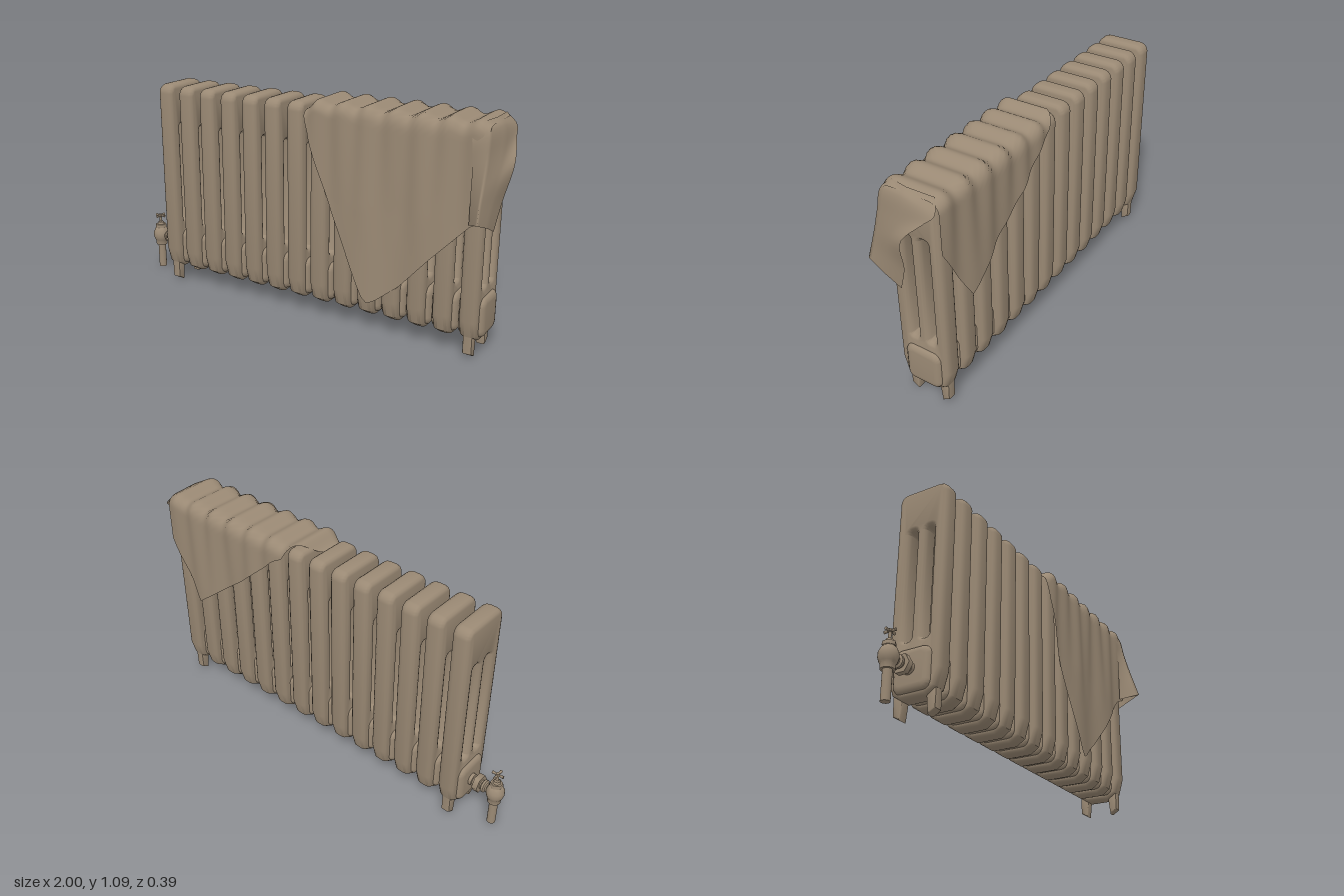
import * as THREE from 'three';
import { toCreasedNormals } from 'three/addons/utils/BufferGeometryUtils.js';

const CZ = -0.0375; // depth of the radiator's centre line
const PITCH = 0.127;
const FIRST = -0.77;
const COUNT = 14;

const iron = new THREE.MeshStandardMaterial({ color: 0x9a8974, side: THREE.DoubleSide });
iron.name = 'warm taupe';

function add(parent, name, geometry, x = 0, y = 0, z = 0) {
  const mesh = new THREE.Mesh(geometry, iron);
  mesh.name = name;
  mesh.position.set(x, y, z);
  parent.add(mesh);
  return mesh;
}

// Rounded rectangle, as a Shape or a Path for holes
function roundRect(p, x0, y0, x1, y1, r) {
  p.moveTo(x0 + r, y0);
  p.lineTo(x1 - r, y0);
  p.absarc(x1 - r, y0 + r, r, -Math.PI / 2, 0);
  p.lineTo(x1, y1 - r);
  p.absarc(x1 - r, y1 - r, r, 0, Math.PI / 2);
  p.lineTo(x0 + r, y1);
  p.absarc(x0 + r, y1 - r, r, Math.PI / 2, Math.PI);
  p.lineTo(x0, y0 + r);
  p.absarc(x0 + r, y0 + r, r, Math.PI, Math.PI * 1.5);
  return p;
}

// Extrude a (z, y) shape sideways along x, centred, with bevels cut inward
function sideways(shape, core, thickness, size, segments) {
  const g = new THREE.ExtrudeGeometry(shape, {
    depth: core, bevelEnabled: true, bevelThickness: thickness, bevelSize: size,
    bevelOffset: -size, bevelSegments: segments, curveSegments: 5,
  });
  g.translate(0, 0, -core / 2);
  g.rotateY(-Math.PI / 2);
  return toCreasedNormals(g, 0.7);
}

// Three-column section with two long slots
function sectionGeometry() {
  const s = new THREE.Shape();
  const w = 0.1275, r = 0.045, top = 1.065;
  s.moveTo(-0.06, 0.08);
  s.lineTo(0.06, 0.08);
  s.lineTo(0.105, 0.11);
  s.lineTo(w, 0.19);
  s.lineTo(w, top - r);
  s.absarc(w - r, top - r, r, 0, Math.PI / 2);
  s.lineTo(r - w, top);
  s.absarc(r - w, top - r, r, Math.PI / 2, Math.PI);
  s.lineTo(-w, 0.19);
  s.lineTo(-0.105, 0.11);
  s.closePath();
  s.holes.push(roundRect(new THREE.Path(), 0.024, 0.335, 0.064, 0.86, 0.015));
  s.holes.push(roundRect(new THREE.Path(), -0.064, 0.335, -0.024, 0.86, 0.015));
  return sideways(s, 0.03, 0.027, 0.02, 3);
}

function footGeometry(side) {
  const pts = [[0.105, 0.13], [0.103, 0.025], [0.066, 0.003], [0.056, 0.085], [0.056, 0.13]];
  const s = new THREE.Shape(pts.map(([z, y]) => new THREE.Vector2(z * side, y)));
  return sideways(s, 0.026, 0.01, 0.008, 2);
}

// Smooth surface from f(u, v) -> [x, y, z]
function surface(nu, nv, f) {
  const pos = [], idx = [];
  for (let i = 0; i <= nu; i++) {
    for (let j = 0; j <= nv; j++) {
      pos.push(...f(i / nu, j / nv));
      if (i < nu && j < nv) {
        const a = i * (nv + 1) + j, b = a + nv + 1;
        idx.push(a, a + 1, b, b, a + 1, b + 1);
      }
    }
  }
  const g = new THREE.BufferGeometry();
  g.setAttribute('position', new THREE.Float32BufferAttribute(pos, 3));
  g.setIndex(idx);
  g.computeVertexNormals();
  return g;
}

// Linear interpolation through [x, value] pairs
function lerpTable(t, x) {
  let i = 1;
  while (i < t.length - 1 && x > t[i][0]) i++;
  const [x0, a] = t[i - 1], [x1, b] = t[i];
  return a + (b - a) * THREE.MathUtils.clamp((x - x0) / (x1 - x0), 0, 1);
}

// Cloth edges: distance down the front and back from the top centre line
const FRONT_EDGE = [[0.05, 0.15], [0.08, 0.3], [0.2, 0.63], [0.3, 0.85], [0.37, 1.0], [0.4, 1.03],
  [0.44, 1.01], [0.55, 0.92], [0.7, 0.75], [0.87, 0.57], [0.93, 0.54]];
const BACK_EDGE = [[0.05, 0], [0.1, -0.07], [0.17, -0.17], [0.45, -0.42], [0.76, -0.665], [0.93, -0.36]];

function drapePoint(u, v) {
  const x = 0.05 + 0.88 * u;
  const s = THREE.MathUtils.lerp(lerpTable(BACK_EDGE, x), lerpTable(FRONT_EDGE, x), v);
  const flat = 0.095, r = 0.05, arc = r * Math.PI / 2;
  const d = Math.abs(s), side = Math.sign(s);
  const wave = Math.cos((x - FIRST) / PITCH * Math.PI * 2);
  const droop = 0.03 * Math.max(0, 1 - (x - 0.05) / 0.06);
  let z, y;
  if (d < flat) { z = d; y = 1.078; }
  else if (d < flat + arc) {
    const a = (d - flat) / r;
    z = flat + r * Math.sin(a);
    y = 1.028 + r * Math.cos(a);
  } else { z = flat + r; y = 1.028 - (d - flat - arc); }
  const down = Math.max(0, d - flat - arc);
  const onTop = Math.max(0, 1 - down / 0.1);
  y += (0.011 * wave - droop) * onTop;
  // Soft vertical folds that follow the sections and loosen lower down
  z += Math.min(1, d / 0.17) * 0.006 * wave * Math.max(0, 1 - down / 0.6);
  z += Math.min(down, 0.4) * 0.025 * Math.sin(x * 19 + 1);
  return [x, y, -0.04 + side * z];
}

// Loose corner folded around the end; each row runs front, ridge, end, free edge
const FLAP_ROWS = [
  [[0.86, 1.08, 0.06], [0.90, 1.085, 0.065], [0.915, 1.085, -0.02], [0.91, 1.083, -0.15]],
  [[0.86, 1.03, 0.105], [0.928, 1.05, 0.1], [0.945, 1.055, -0.03], [0.95, 1.03, -0.175]],
  [[0.87, 0.92, 0.11], [0.935, 0.94, 0.125], [0.96, 0.955, 0.0], [0.968, 0.985, -0.13]],
  [[0.87, 0.80, 0.112], [0.935, 0.83, 0.155], [0.965, 0.85, 0.05], [0.998, 0.89, -0.04]],
  [[0.87, 0.71, 0.112], [0.935, 0.75, 0.18], [0.955, 0.74, 0.08], [0.965, 0.73, -0.015]],
  [[0.87, 0.645, 0.112], [0.938, 0.68, 0.2], [0.95, 0.645, 0.11], [0.95, 0.605, 0.025]],
];

function flapPoint() {
  const columns = [0, 1, 2, 3].map((c) =>
    new THREE.CatmullRomCurve3(FLAP_ROWS.map((row) => new THREE.Vector3(...row[c]))));
  return (u, v) => {
    const p = columns.map((c) => c.getPoint(u));
    const k = Math.min(2, Math.floor(v * 3));
    return p[k].clone().lerp(p[k + 1], v * 3 - k).toArray();
  };
}

// Turned part from [radius, height] pairs
function turned(points, sides = 24) {
  const g = new THREE.LatheGeometry(points.map(([r, y]) => new THREE.Vector2(r, y)), sides);
  return toCreasedNormals(g, 0.6);
}

function makeValve() {
  const valve = new THREE.Group();
  valve.name = 'valve';
  valve.position.set(-0.958, 0, -0.042);
  add(valve, 'supplyPipe', new THREE.CylinderGeometry(0.02, 0.02, 0.15, 20), 0, 0.085);
  add(valve, 'valveBody', turned([[0, 0.14], [0.03, 0.14], [0.031, 0.162], [0.036, 0.17], [0.042, 0.19],
    [0.041, 0.21], [0.032, 0.23], [0.025, 0.237], [0.025, 0.243], [0, 0.243]]));
  add(valve, 'bonnetNut', new THREE.CylinderGeometry(0.028, 0.031, 0.018, 6), 0, 0.247);
  add(valve, 'stem', turned([[0.018, 0.255], [0.014, 0.268], [0.007, 0.272], [0.007, 0.297], [0.01, 0.3],
    [0.008, 0.312], [0, 0.313]], 16));
  for (let i = 0; i < 4; i++) {
    const a = i * Math.PI / 2;
    const arm = add(valve, 'handleArm', new THREE.CylinderGeometry(0.007, 0.004, 0.026, 10),
      Math.cos(a) * 0.015, 0.304, -Math.sin(a) * 0.015);
    arm.rotation.set(0, a, -Math.PI / 2, 'YXZ');
  }
  // Union fitting toward the radiator
  const union = add(valve, 'unionFitting', turned([[0.02, 0.02], [0.02, 0.045], [0.03, 0.05], [0.03, 0.06],
    [0.022, 0.066], [0.022, 0.11], [0.028, 0.112], [0.028, 0.15]], 20), 0, 0.196, 0);
  union.rotation.z = -Math.PI / 2;
  const nut = add(valve, 'unionNut', new THREE.CylinderGeometry(0.044, 0.044, 0.026, 6), 0.085, 0.196, 0);
  nut.rotation.z = -Math.PI / 2;
  return valve;
}

export function createModel() {
  const model = new THREE.Group();
  model.name = 'radiator';

  // Repeated sections with lower joining hubs
  const section = sectionGeometry();
  const hub = sideways(roundRect(new THREE.Shape(), -0.09, 0.1, 0.09, 0.29, 0.04), 0.08, 0.021, 0.028, 3);
  for (let i = 0; i < COUNT; i++) {
    const x = FIRST + i * PITCH;
    add(model, 'section', section, x, 0, CZ);
    add(model, 'hub', hub, x, 0, CZ);
  }

  // Feet under the two end sections
  for (const x of [FIRST, FIRST + (COUNT - 1) * PITCH]) {
    for (const side of [-1, 1]) add(model, 'foot', footGeometry(side), x, 0, CZ);
  }

  // Flat tie bar near the top
  add(model, 'tieBar', new THREE.BoxGeometry((COUNT - 1) * PITCH, 0.006, 0.03), 0.055, 0.977, -0.043);

  model.add(makeValve());

  // Draped cloth
  add(model, 'clothDrape', surface(112, 48, drapePoint));
  add(model, 'clothCorner', surface(24, 18, flapPoint()));
  return model;
}
